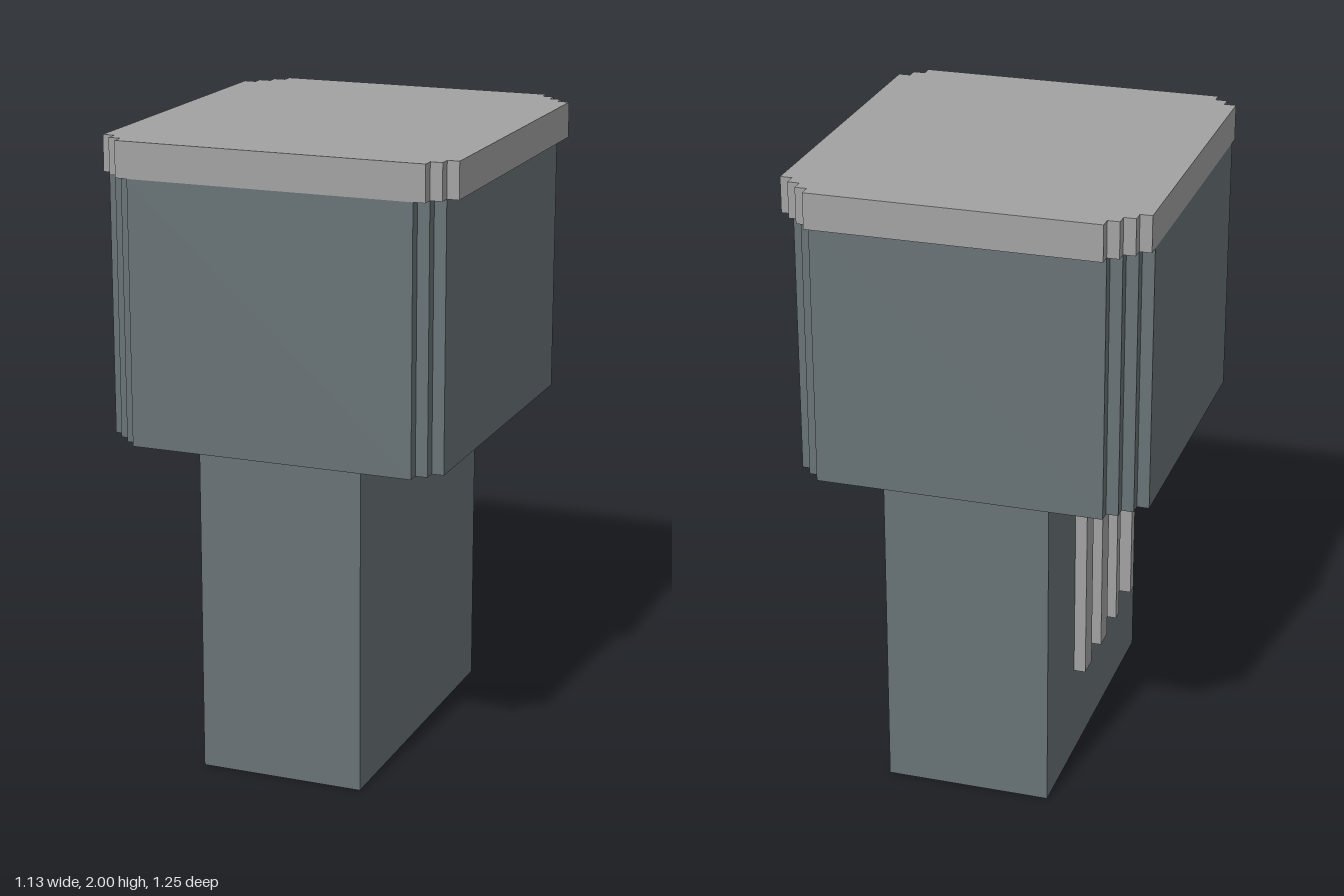
import * as THREE from 'three';

const U = 2 / 53; // one grid unit; the model is 30 x 53 x 33 units

const lightStone = new THREE.MeshStandardMaterial({ color: 0xa2a2a2 });
lightStone.name = 'lightStone';
const slate = new THREE.MeshStandardMaterial({ color: 0x687276 });
slate.name = 'slate';

const px = (x) => (x - 15) * U;
const pz = (z) => (z - 16.5) * U;

// Box between two grid corners
function block(name, material, [x0, y0, z0], [x1, y1, z1]) {
  const mesh = new THREE.Mesh(new THREE.BoxGeometry((x1 - x0) * U, (y1 - y0) * U, (z1 - z0) * U), material);
  mesh.position.set(px((x0 + x1) / 2), (y0 + y1) / 2 * U, pz((z0 + z1) / 2));
  mesh.name = name;
  return mesh;
}

// Slab with staircase corners; steps are [x0 z0, x1 z0, x1 z1, x0 z1]
function steppedSlab(name, material, x0, x1, z0, z1, y0, y1, steps) {
  const pts = [];
  const add = (x, z) => pts.push(new THREE.Vector2(px(x), -pz(z)));
  const corners = [[x0, z0, 1, 1], [x1, z0, -1, 1], [x1, z1, -1, -1], [x0, z1, 1, -1]];
  corners.forEach(([x, z, sx, sz], c) => {
    const n = steps[c];
    const stair = [];
    for (let i = 0; i <= n; i++) {
      stair.push([x + sx * i, z + sz * (n - i)]);
      if (i < n) stair.push([x + sx * (i + 1), z + sz * (n - i)]);
    }
    if (c % 2) stair.reverse();
    stair.forEach((p) => add(...p));
  });
  const geometry = new THREE.ExtrudeGeometry(new THREE.Shape(pts), { depth: (y1 - y0) * U, bevelEnabled: false });
  geometry.rotateX(-Math.PI / 2);
  geometry.translate(0, y0 * U, 0);
  const mesh = new THREE.Mesh(geometry, material);
  mesh.name = name;
  return mesh;
}

export function createModel() {
  const model = new THREE.Group();
  model.name = 'tower';

  // Shaft with a shallow recess in its -x side
  const shaft = new THREE.Group();
  shaft.name = 'shaft';
  shaft.add(
    block('shaftCore', slate, [9, 0, 3], [22, 28, 31]),
    block('shaftSideBack', slate, [8, 0, 3], [9, 28, 11]),
    block('shaftSideFront', slate, [8, 0, 27], [9, 28, 31]),
    block('shaftSideBase', slate, [8, 0, 11], [9, 8, 27]),
    block('recessSill', lightStone, [8, 8, 11], [9, 8.1, 27]),
  );
  model.add(shaft);

  // Upright bars across the recess: [start, width]
  const grille = new THREE.Group();
  grille.name = 'grille';
  for (const [z, w] of [[11, 2], [16, 2], [21, 1], [26, 1]]) {
    grille.add(block('grilleBar', lightStone, [7, 8, z], [9, 28, z + w]));
  }
  model.add(grille);

  // Wide upper body and its cap
  model.add(steppedSlab('upperBody', slate, 0, 29, 1, 33, 28, 50, [3, 2, 2, 3]));
  model.add(steppedSlab('cap', lightStone, 0, 30, 0, 33, 50, 53, [3, 3, 2, 2]));

  return model;
}
